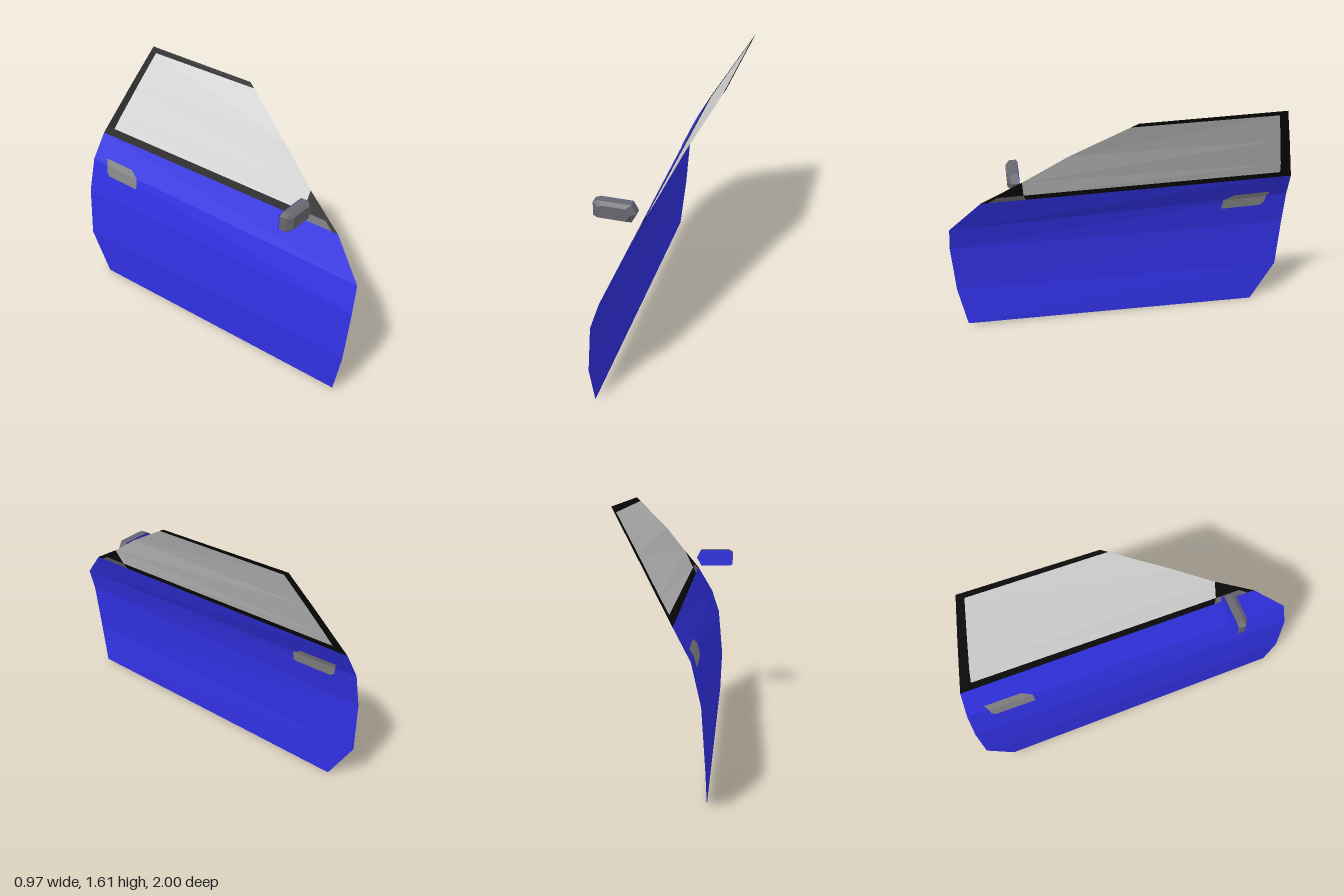
import * as THREE from 'three';
import { ConvexGeometry } from 'three/addons/geometries/ConvexGeometry.js';

const mat = (name, color) => {
  const m = new THREE.MeshStandardMaterial({ color, side: THREE.DoubleSide });
  m.name = name;
  return m;
};
const V = (x, y, z) => new THREE.Vector3(x, y, z);

export function createModel() {
  const door = new THREE.Group();
  door.name = 'carDoor';

  const blue = mat('bodyBlue', 0x3131e4);
  const glass = mat('windowGrey', 0xd4d4d4);
  const black = mat('frameBlack', 0x0a0a0a);
  const grey = mat('handleGrey', 0x858585);
  const housing = mat('mirrorGrey', 0x68676e);

  // Rows across the door skin, each a line from the front edge to the rear edge
  const row = (f, r) => ({ f: V(...f), r: V(...r) });
  const mix = (a, b, tf, tr = tf) => ({ f: a.f.clone().lerp(b.f, tf), r: a.r.clone().lerp(b.r, tr) });
  const bottom = row([0.4, 0.02, 0.95], [-0.42, 0, -0.81]);
  const lower = row([0.41, 0.29, 1], [-0.485, 0.275, -0.95]);
  const middle = row([0.44, 0.62, 1], [-0.47, 0.62, -0.965]);
  const upper = row([0.48, 0.785, 0.965], [-0.42, 0.855, -0.98]);
  const sill = row([0.475, 1.0, 0.74], [-0.328, 1.03, -1]);
  const pillar = row([0.44, 1.16, 0.48], [-0.245, 1.158, -0.992]);
  const waist = row([0.415, 1.35, 0.2], [-0.108, 1.37, -0.978]);
  const top = row([0.387, 1.585, -0.2], [0.05, 1.61, -0.96]);
  const frameLow = mix(sill, pillar, 0.25, 0.35);
  const frameTop = mix(waist, top, 0.89, 0.87);

  // Patch between two rows: a = [start, end] on the first row, b on the second
  const patch = (A, B, a = [0, 1], b = a) => {
    const at = (R, s) => R.f.clone().lerp(R.r, s);
    const [p, q, r, t] = [at(A, a[0]), at(A, a[1]), at(B, b[1]), at(B, b[0])];
    return [p, q, r, p, r, t];
  };
  const addSheet = (name, material, patches, offset = 0) => {
    const g = new THREE.BufferGeometry().setFromPoints(patches.flat());
    g.translate(-0.9 * offset, 0, 0.42 * offset);
    g.computeVertexNormals();
    const mesh = new THREE.Mesh(g, material);
    mesh.name = name;
    door.add(mesh);
  };

  // Body skin
  addSheet('doorPanel', blue, [
    patch(bottom, lower), patch(lower, middle), patch(middle, upper), patch(upper, sill),
  ]);

  // Window pane
  addSheet('windowPane', glass, [
    patch(frameLow, pillar, [0.105, 0.963], [0, 0.962]),
    patch(pillar, waist, [0, 0.962], [0, 0.957]),
    patch(waist, frameTop, [0, 0.957], [0, 0.945]),
  ]);

  // Window frame: sill strip, front corner, rear post and top rail
  addSheet('windowFrame', black, [
    patch(sill, frameLow, [0, 0.023], [0, 0.02]),
    patch(sill, frameLow, [0.14, 1], [0.105, 1]),
    patch(frameLow, pillar, [0, 0.105], [0, 0]),
    patch(frameLow, pillar, [0.963, 1], [0.962, 1]),
    patch(pillar, waist, [0.962, 1], [0.957, 1]),
    patch(waist, frameTop, [0.957, 1], [0.945, 1]),
    patch(frameTop, top),
  ]);

  // Mirror foot on the sill
  addSheet('mirrorFoot', housing, [patch(sill, frameLow, [0.023, 0.14], [0.02, 0.105])]);

  // Handle plate, on both faces of the skin
  const handleLow = mix(middle, upper, 0.69);
  const handleMid = mix(middle, upper, 0.78);
  const handleHigh = mix(upper, sill, 0.22);
  for (const side of [1, -1]) {
    addSheet(side > 0 ? 'outerHandle' : 'innerHandle', grey, [
      patch(handleLow, handleMid, [0.803, 0.92], [0.802, 0.932]),
      patch(handleMid, upper, [0.802, 0.932], [0.804, 0.936]),
      patch(upper, handleHigh, [0.804, 0.936], [0.832, 0.946]),
    ], 0.004 * side);
  }

  // Wing mirror: outline swept forward to a smaller front face
  const mirror = new THREE.Group();
  mirror.name = 'wingMirror';
  mirror.position.set(0.145, 1.11, 0.635);
  mirror.rotation.y = 0.445;
  const outline = [[0, -0.045], [0.02, -0.055], [0.22, -0.055], [0.25, 0], [0.22, 0.055], [0.03, 0.055], [0, 0.04]];
  const points = [];
  for (const [depth, k] of [[0, 1], [0.045, 1], [0.07, 0.72]]) {
    for (const [x, y] of outline) points.push(V(0.125 + (x - 0.125) * k, y * k, depth));
  }
  const shell = new THREE.Mesh(new ConvexGeometry(points), housing);
  shell.name = 'mirrorHousing';
  const face = new THREE.Mesh(
    new THREE.ShapeGeometry(new THREE.Shape(outline.map(([x, y]) => new THREE.Vector2(x, y)))), blue);
  face.name = 'mirrorFace';
  face.position.z = -0.003;
  mirror.add(shell, face);
  door.add(mirror);

  return door;
}
